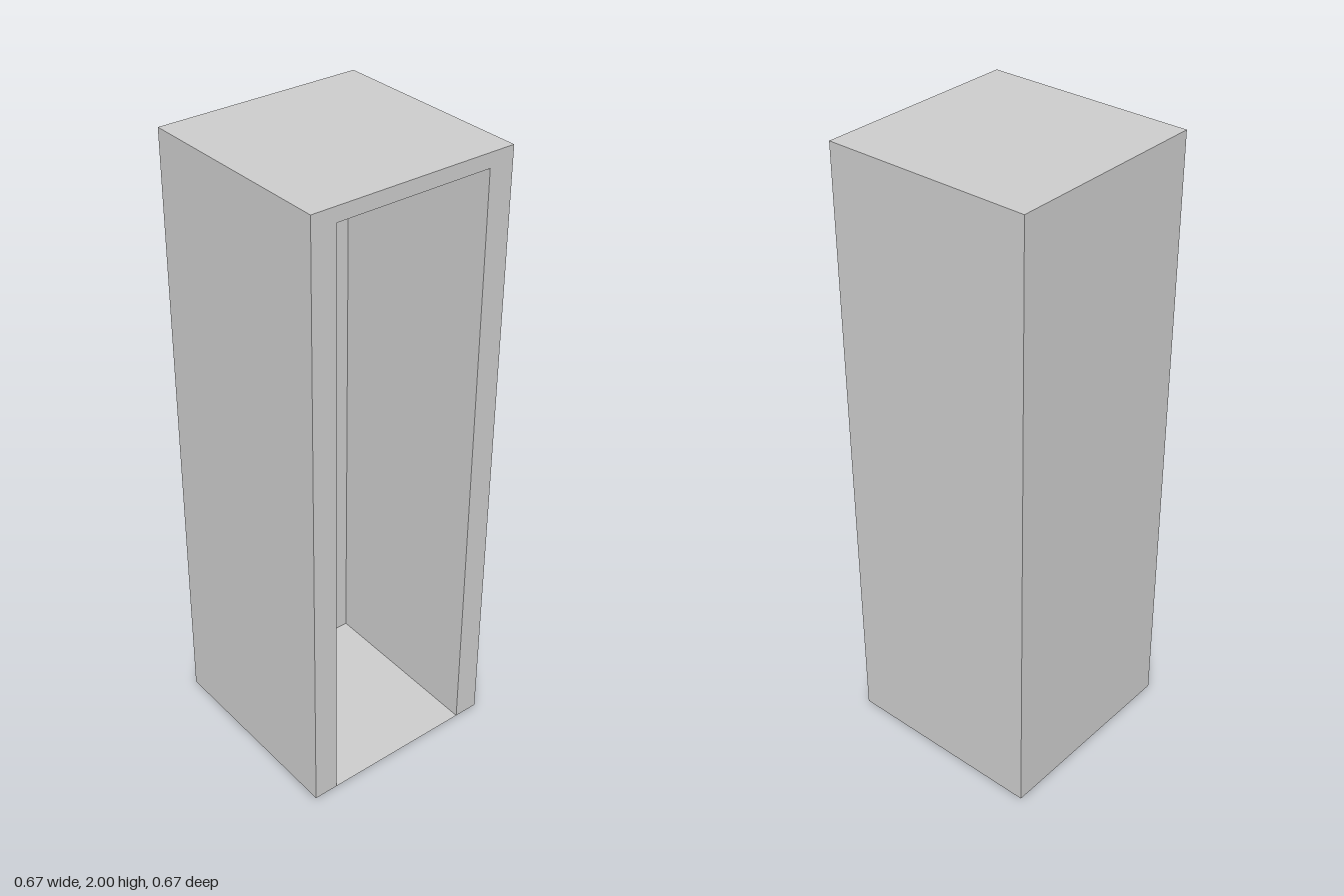
import * as THREE from 'three';

const HALF = 0.333;      // half of the square footprint
const HEIGHT = 2;
const INNER_Z = 0.252;   // half width of the opening
const INNER_TOP = 1.955; // underside of the roof
const BACK_X = -0.252;   // inner face of the closed end

export function createModel() {
  const group = new THREE.Group();
  const material = new THREE.MeshStandardMaterial({ color: 0xcccccc, flatShading: true });
  const add = (name, geometry, mat = material) => {
    const mesh = new THREE.Mesh(geometry, mat);
    mesh.name = name;
    group.add(mesh);
    return mesh;
  };

  // Two side walls and roof: one arch profile run across the full width
  const profile = new THREE.Shape([
    [-HALF, 0], [-INNER_Z, 0], [-INNER_Z, INNER_TOP], [INNER_Z, INNER_TOP],
    [INNER_Z, 0], [HALF, 0], [HALF, HEIGHT], [-HALF, HEIGHT],
  ].map(([x, y]) => new THREE.Vector2(x, y)));
  const arch = new THREE.ExtrudeGeometry(profile, { depth: 2 * HALF, bevelEnabled: false });
  arch.translate(0, 0, -HALF).rotateY(Math.PI / 2);
  add('wallsAndRoof', arch);

  // Panel closing the left end
  const thickness = BACK_X + HALF;
  const panel = new THREE.BoxGeometry(thickness, INNER_TOP, 2 * INNER_Z);
  panel.translate(-HALF + thickness / 2, INNER_TOP / 2, 0);
  add('endPanel', panel);

  // Thin floor inside the opening
  const depth = HALF - BACK_X;
  const floor = new THREE.PlaneGeometry(depth, 2 * INNER_Z);
  floor.rotateX(-Math.PI / 2).translate(BACK_X + depth / 2, 0, 0);
  const thin = material.clone();
  thin.side = THREE.DoubleSide;
  add('floor', floor, thin);

  return group;
}
